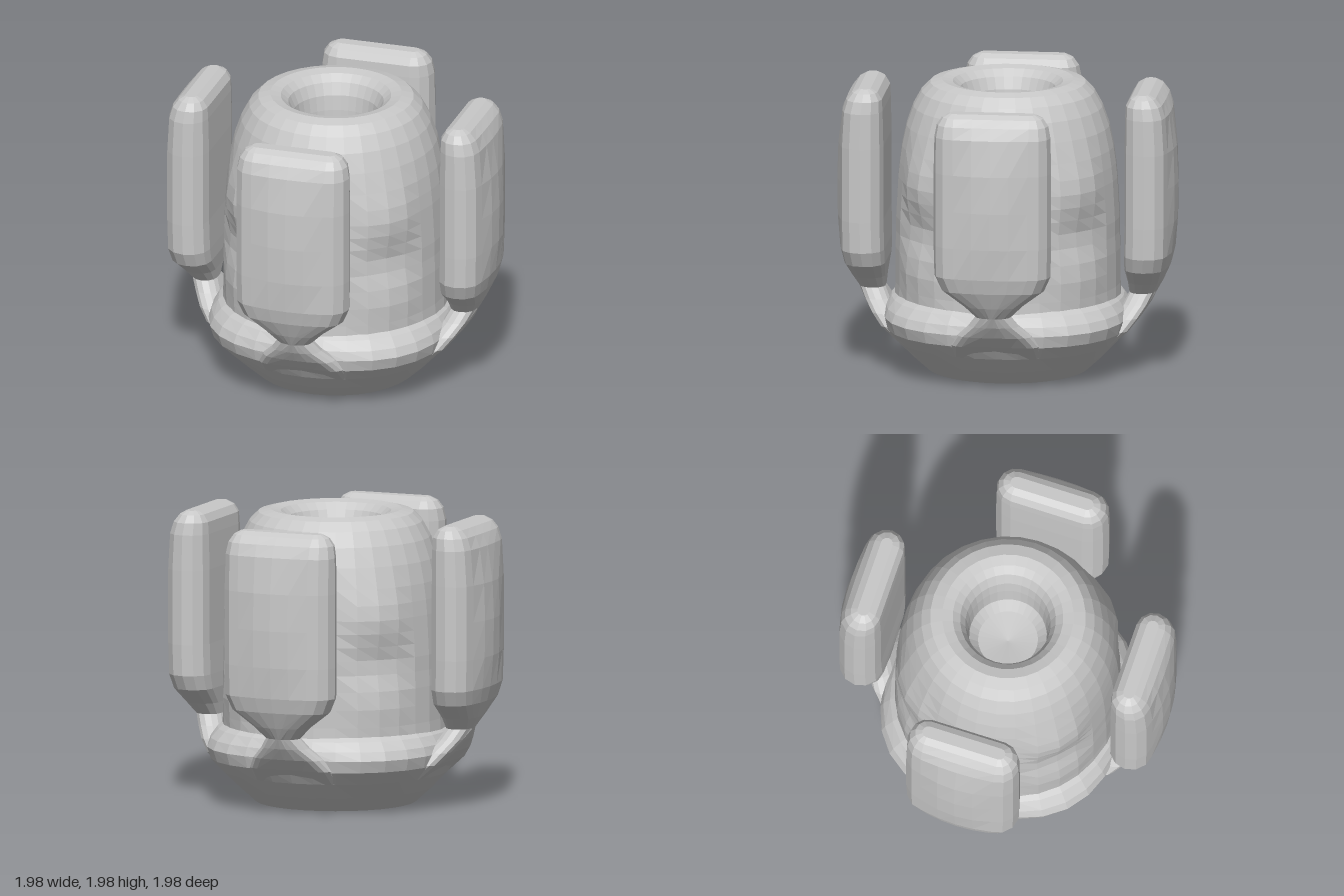
import * as THREE from 'three';

const grey = new THREE.MeshStandardMaterial({ color: 0xc8c8c8 });
grey.name = 'plainGrey';

// Facet a geometry so every triangle has its own normal
function facet(geometry) {
  const flat = geometry.index ? geometry.toNonIndexed() : geometry;
  flat.computeVertexNormals();
  return flat;
}

function part(name, geometry) {
  const mesh = new THREE.Mesh(facet(geometry), grey);
  mesh.name = name;
  return mesh;
}

const bell = (v, centre, width) => Math.exp(-(((v - centre) / width) ** 2));

// Turned shape whose outer radius is nudged by a rule of angle and height
function turned(profile, rule) {
  const g = new THREE.LatheGeometry(profile.map(([r, y]) => new THREE.Vector2(r, y)), 32);
  const p = g.attributes.position;
  for (let i = 0; i < p.count; i++) {
    const x = p.getX(i), y = p.getY(i), z = p.getZ(i), r = Math.hypot(x, z);
    if (r < 0.55) continue;
    const wave = Math.cos(4 * Math.atan2(x, z)); // 1 on the four sides, -1 on the diagonals
    const k = (r + rule(wave, y)) / r;
    p.setXYZ(i, x * k, y, z * k);
  }
  return g;
}

// Rounded cross-sections stacked upward, domed on the outer face:
// [y, half width, half thickness, z offset, dome height]
function panelGeometry(rows) {
  const arc = 6, flats = [0.5, 0, -0.5], pos = [], idx = [];
  const n = 2 * (arc + 1 + flats.length);
  for (const [y, w, t, off, dome] of rows) {
    const s = w - t;
    for (const side of [1, -1]) {
      for (let i = 0; i <= arc; i++) {
        const a = -Math.PI / 2 + (Math.PI * i) / arc;
        pos.push(side * (s + Math.cos(a) * t), y, off + side * Math.sin(a) * t);
      }
      for (const f of flats) {
        const bulge = side > 0 ? dome * (1 - f * f) : 0;
        pos.push(side * f * s, y, off + side * t + bulge);
      }
    }
  }
  for (let j = 0; j < rows.length - 1; j++) {
    for (let i = 0; i < n; i++) {
      const a = j * n + i, b = j * n + ((i + 1) % n);
      idx.push(a, a + n, b, b, a + n, b + n);
    }
  }
  const last = (rows.length - 1) * n;
  for (let i = 1; i < n - 1; i++) {
    idx.push(0, i, i + 1, last, last + i + 1, last + i);
  }
  const g = new THREE.BufferGeometry();
  g.setAttribute('position', new THREE.Float32BufferAttribute(pos, 3));
  g.setIndex(idx);
  return g;
}

export function createModel() {
  const model = new THREE.Group();
  model.name = 'podWithPanels';

  // Barrel body with a thick rounded rim and a blind hole in the top
  const body = [
    [0.68, 0.36], [0.76, 0.5], [0.755, 0.6], [0.755, 0.72], [0.755, 0.84], [0.75, 0.95],
    [0.75, 1.05], [0.745, 1.14], [0.74, 1.23], [0.735, 1.32], [0.725, 1.42], [0.71, 1.53],
    [0.68, 1.67], [0.635, 1.8], [0.58, 1.9], [0.52, 1.96], [0.44, 1.98], [0.37, 1.965],
    [0.32, 1.92], [0.285, 1.84], [0.27, 1.74], [0.26, 1.6], [0.2, 1.53], [0, 1.5],
  ];
  // Shallow bulges above hollows on the four sides
  model.add(part('barrelBody', turned(body, (wave, y) => {
    const m = Math.max(0, wave);
    return m * (0.04 * bell(y, 1.34, 0.2) - 0.03 * bell(y, 1.03, 0.12) + 0.02 * bell(y, 0.7, 0.15));
  })));

  // Bowl-shaped collar with a round opening underneath
  const collar = [
    [0, 0.5], [0.24, 0.48], [0.32, 0.4], [0.31, 0.28], [0.35, 0.15], [0.41, 0.05],
    [0.48, 0.005], [0.54, 0.01], [0.65, 0.11], [0.76, 0.22], [0.835, 0.31], [0.855, 0.39],
    [0.835, 0.45], [0.79, 0.51], [0.7, 0.58],
  ];
  model.add(part('baseCollar', turned(collar, (wave, y) => 0.03 * wave * bell(y, 0.38, 0.14))));

  // Four upright panels, each growing out of the collar through a narrow neck
  const rows = [
    [0.22, 0.3, 0.06, 0.66, 0], [0.32, 0.3, 0.08, 0.755, 0], [0.4, 0.25, 0.085, 0.815, 0.01],
    [0.48, 0.17, 0.085, 0.87, 0.01], [0.55, 0.12, 0.085, 0.905, 0.01],
    [0.63, 0.2, 0.11, 0.925, 0.01], [0.74, 0.345, 0.135, 0.94, 0.02],
    [0.84, 0.39, 0.145, 0.95, 0.025], [1.05, 0.395, 0.145, 0.955, 0.04],
    [1.3, 0.395, 0.145, 0.955, 0.045], [1.55, 0.395, 0.145, 0.955, 0.035],
    [1.79, 0.39, 0.135, 0.95, 0.015], [1.87, 0.375, 0.12, 0.94, 0.005],
    [1.92, 0.34, 0.085, 0.935, 0], [1.945, 0.29, 0.04, 0.935, 0],
  ];
  const names = ['frontLeftPanel', 'backLeftPanel', 'backRightPanel', 'frontRightPanel'];
  names.forEach((name, i) => {
    const panel = part(name, panelGeometry(rows));
    panel.rotation.y = Math.PI / 4 + (i * Math.PI) / 2;
    model.add(panel);
  });

  return model;
}
